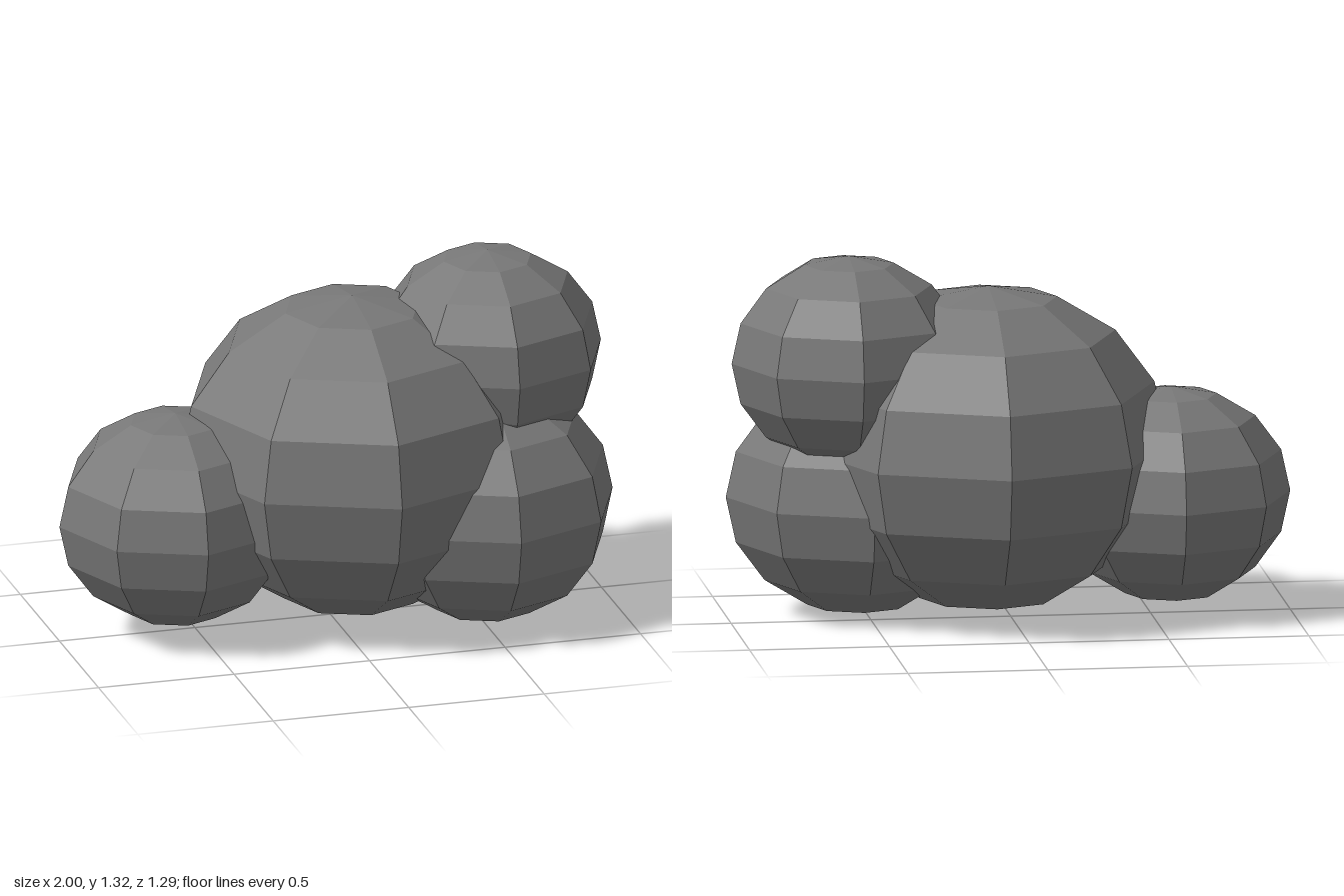
import * as THREE from 'three';

export function createModel() {
  const group = new THREE.Group();
  group.name = 'cloud';
  const material = new THREE.MeshStandardMaterial({ color: 0x787878, flatShading: true });
  const puffShape = new THREE.SphereGeometry(1, 8, 8);
  const squash = 0.907; // every puff is slightly flattened

  // Overlapping puffs: name, radius, centre
  const puffs = [
    ['mainPuff', 0.643, [0.08, 0.613, 0]],
    ['rightPuff', 0.427, [-0.573, 0.43, 0]],
    ['upperLeftPuff', 0.419, [0.579, 0.937, 0]],
    ['lowerLeftPuff', 0.472, [0.528, 0.428, 0.143]],
  ];
  for (const [name, radius, centre] of puffs) {
    const puff = new THREE.Mesh(puffShape, material);
    puff.name = name;
    puff.scale.set(radius, radius * squash, radius);
    puff.position.set(...centre);
    group.add(puff);
  }
  return group;
}
